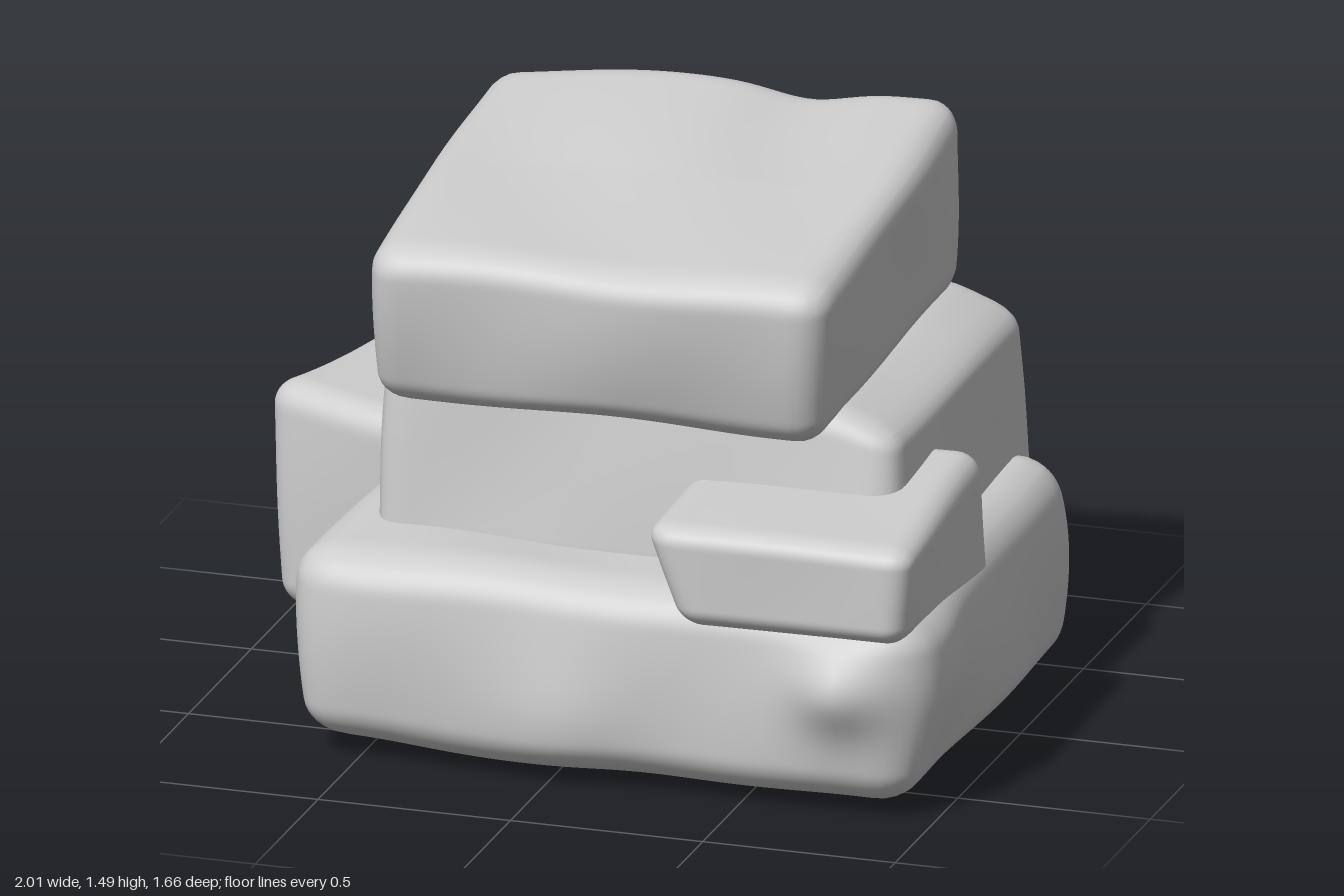
import * as THREE from 'three';
import { mergeVertices } from 'three/addons/utils/BufferGeometryUtils.js';

const material = new THREE.MeshStandardMaterial({ color: 0xcccccc });

// Gentle, repeatable surface undulation
const ripple = (a, b, c) =>
  Math.sin(a * 5.3 + c) * Math.sin(b * 4.7 + 2 * c) + 0.5 * Math.sin(a * 9.1 - b * 7.3 + c);

const bump = (x, y, r) => Math.exp(-(x * x + y * y) / (r * r));

// Rounded block stretched between eight corners.
// Corners run back-left, back-right, front-right, front-left as [x, y, z].
function stone(name, bottom, top, radius, rough, seed, swell = () => {}) {
  const size = [0, 1, 2].map((k) => {
    const span = (i, j) => Math.abs(bottom[i][k] - bottom[j][k]) + Math.abs(top[i][k] - top[j][k]);
    if (k === 0) return (span(0, 1) + span(3, 2)) / 8;
    if (k === 2) return (span(0, 3) + span(1, 2)) / 8;
    return bottom.reduce((s, p, i) => s + top[i][1] - p[1], 0) / 8;
  });
  const n = 42;
  let geo = new THREE.BoxGeometry(2, 2, 2, n, n, n);
  geo.deleteAttribute('normal');
  geo.deleteAttribute('uv');
  geo = mergeVertices(geo);
  const pos = geo.attributes.position;
  const p = new THREE.Vector3(), core = new THREE.Vector3(), out = new THREE.Vector3();
  const half = new THREE.Vector3(...size);
  const limit = half.clone().subScalar(radius).max(new THREE.Vector3(0.01, 0.01, 0.01));
  for (let i = 0; i < pos.count; i++) {
    // Round the edges
    p.fromBufferAttribute(pos, i).multiply(half);
    core.copy(p).clamp(limit.clone().negate(), limit);
    p.sub(core);
    if (p.lengthSq() > 0) p.setLength(radius);
    p.add(core).divide(half);
    // Blend between the corners
    const u = (p.x + 1) / 2, v = (p.y + 1) / 2, w = (p.z + 1) / 2;
    const weights = [(1 - u) * (1 - w), u * (1 - w), u * w, (1 - u) * w];
    out.set(0, 0, 0);
    weights.forEach((f, c) => {
      out.addScaledVector(new THREE.Vector3(...bottom[c]), f * (1 - v));
      out.addScaledVector(new THREE.Vector3(...top[c]), f * v);
    });
    swell(out, p);
    const { x, y, z } = out;
    out.x += rough * ripple(y, z, seed) * p.x;
    out.y += rough * ripple(x, z, seed + 1) * p.y * 0.7;
    out.z += rough * ripple(x, y, seed + 2) * p.z;
    pos.setXYZ(i, out.x, out.y, out.z);
  }
  geo.computeVertexNormals();
  const mesh = new THREE.Mesh(geo, material);
  mesh.name = name;
  return mesh;
}

export function createModel() {
  const group = new THREE.Group();
  group.name = 'stackedStones';
  group.add(
    // Broad bottom stone: bulging sides, a knob on the front and a swollen shoulder
    stone('baseStone',
      [[-0.6, 0.04, -0.67], [0.93, 0.01, -0.62], [0.94, 0.03, 0.73], [-0.65, 0.04, 0.72]],
      [[-0.58, 0.6, -0.65], [0.93, 0.56, -0.51], [0.95, 0.53, 0.73], [-0.66, 0.55, 0.71]],
      0.1, 0.01, 1,
      (o, p) => {
        const belly = 1 - p.y * p.y;
        const front = Math.max(0, p.z) ** 4, right = Math.max(0, p.x) ** 4;
        const { x, y, z } = o;
        o.x += 0.03 * belly * p.x + 0.04 * right * bump(z - 0.56, y - 0.32, 0.19);
        o.z += 0.03 * belly * p.z * (1 - 0.6 * p.x * p.x) + 0.07 * front * bump(x - 0.75, y - 0.35, 0.11);
        o.z += 0.03 * front * bump(x - 0.05, y - 0.15, 0.16);
        o.y -= 0.02 * Math.max(0, -p.y) * (1 - p.x * p.x) * (1 - p.z * p.z);
      }),

    // Stone leaning against the back corner
    stone('sideStone',
      [[-0.84, 0.06, -0.73], [-0.4, 0.05, -0.55], [-0.45, 0.05, 0.03], [-1.0, 0.07, -0.13]],
      [[-0.85, 0.66, -0.73], [-0.4, 0.64, -0.5], [-0.45, 0.63, 0.03], [-1.03, 0.66, -0.16]],
      0.07, 0.006, 4,
      (o, p) => {
        const back = Math.max(0, -p.z);
        o.z -= back * (0.1 * (1 - p.y * p.y) + 0.05 * Math.max(0, 1 - p.x * p.x));
        o.x += 0.03 * Math.max(0, -p.x) * (1 - p.z * p.z);
      }),

    // Slab on the front corner, sunk into the base at its back end
    stone('cornerSlab',
      [[0.34, 0.4, 0.05], [0.945, 0.4, 0.05], [0.945, 0.48, 0.78], [0.36, 0.47, 0.78]],
      [[0.27, 0.77, 0.13], [0.95, 0.79, 0.11], [0.96, 0.73, 0.79], [0.27, 0.73, 0.78]],
      0.06, 0.005, 7),

    // Middle block with a bevelled upper right edge
    stone('middleStone',
      [[-0.53, 0.46, -0.67], [0.85, 0.46, -0.61], [0.84, 0.48, 0.51], [-0.53, 0.48, 0.5]],
      [[-0.52, 0.97, -0.61], [0.82, 0.96, -0.6], [0.81, 0.96, 0.43], [-0.52, 0.97, 0.44]],
      0.07, 0.007, 10,
      (o, p) => { o.y -= 0.05 * Math.max(0, p.y) * THREE.MathUtils.smoothstep(p.x, 0.7, 1); }),

    // Sloping top stone, higher at the back
    stone('topStone',
      [[-0.51, 0.95, -0.43], [0.7, 0.97, -0.44], [0.66, 0.89, 0.55], [-0.51, 0.89, 0.55]],
      [[-0.53, 1.45, -0.45], [0.72, 1.51, -0.47], [0.69, 1.32, 0.62], [-0.5, 1.31, 0.62]],
      0.08, 0.009, 13,
      (o, p) => {
        const up = Math.max(0, p.y), back = Math.max(0, -p.z);
        o.y += up * back * (0.03 * bump(o.x + 0.05, 0, 0.29) - 0.04 * bump(o.x - 0.32, 0, 0.14));
        o.z += 0.02 * p.z * (1 - p.y * p.y);
      }),
  );
  return group;
}
